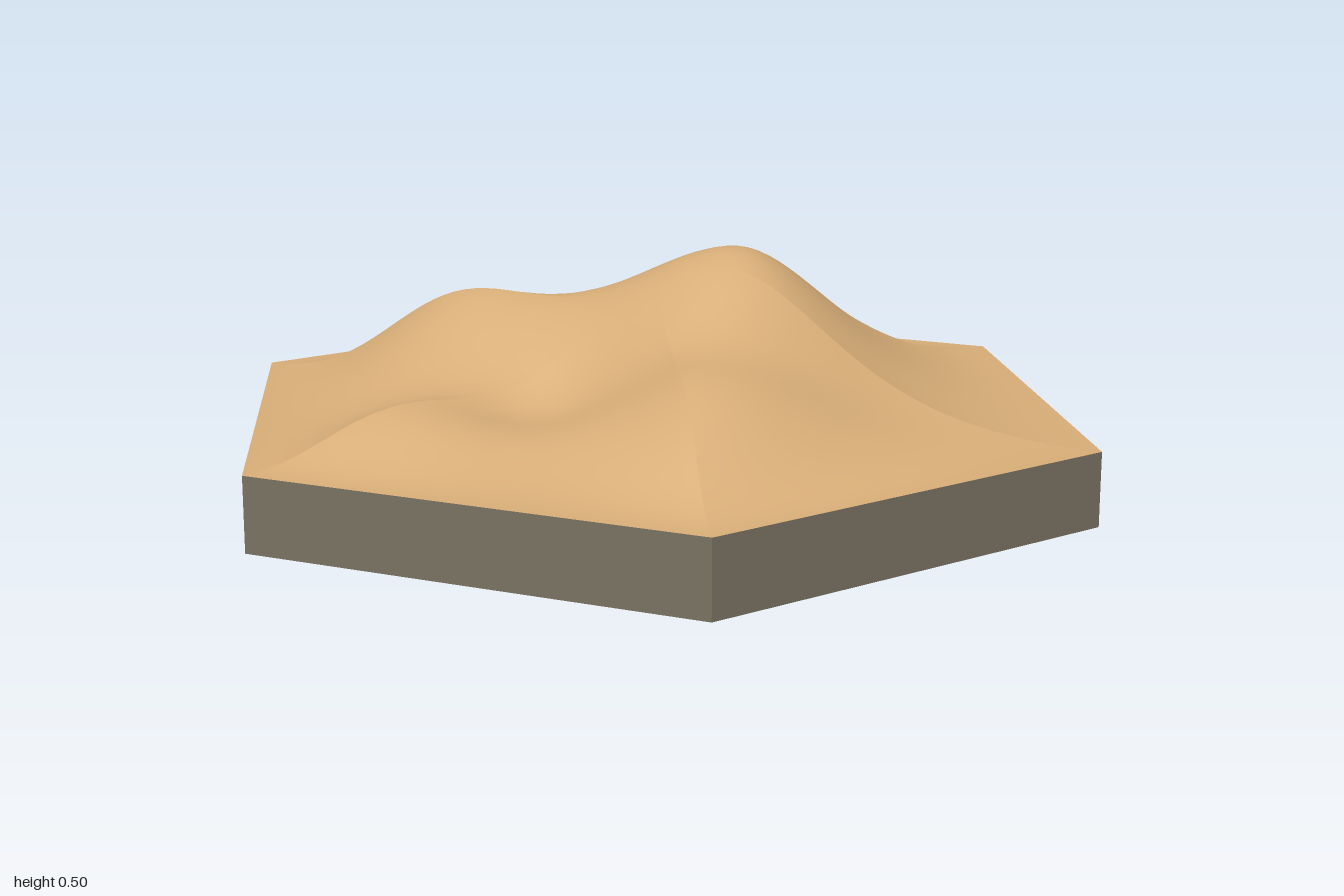
import * as THREE from 'three';

const BASE_HEIGHT = 0.16;
const RINGS = 36;

// Hills: centre x, centre z, spread, strength (negative for a hollow)
const HILLS = [
  [0.07, -0.13, 0.24, 0.23],
  [0, -0.6, 0.3, 0.12],
  [-0.5, 0.34, 0.24, 0.26],
  [0.75, 0.25, 0.25, 0.4],
  [0.12, 0.88, 0.2, 0.33],
  [0.12, 0.38, 0.13, -0.06],
];

// Rolling hills that fade out towards the rim; d runs from 0 at the centre to 1 at the rim
function duneHeight(x, z, d) {
  let h = 0.07;
  for (const [cx, cz, s, a] of HILLS) {
    h += a * Math.exp(-((x - cx) ** 2 + (z - cz) ** 2) / (2 * s * s));
  }
  return BASE_HEIGHT + h * THREE.MathUtils.smoothstep(1 - d, 0, 0.8);
}

// One of six triangular sectors, kept separate so the seams stay crisp
function duneSector(k) {
  const a = (k * Math.PI) / 3;
  const b = a + Math.PI / 3;
  const positions = [];
  const index = [];
  const id = (i, j) => (i * (i + 1)) / 2 + j;
  for (let i = 0; i <= RINGS; i++) {
    for (let j = 0; j <= i; j++) {
      const u = (i - j) / RINGS;
      const v = j / RINGS;
      const x = u * Math.sin(a) + v * Math.sin(b);
      const z = u * Math.cos(a) + v * Math.cos(b);
      positions.push(x, duneHeight(x, z, i / RINGS), z);
      if (i === RINGS) continue;
      index.push(id(i, j), id(i + 1, j), id(i + 1, j + 1));
      if (j < i) index.push(id(i, j), id(i + 1, j + 1), id(i, j + 1));
    }
  }
  const geometry = new THREE.BufferGeometry();
  geometry.setAttribute('position', new THREE.Float32BufferAttribute(positions, 3));
  geometry.setIndex(index);
  geometry.computeVertexNormals();
  return geometry;
}

export function createModel() {
  const sand = new THREE.MeshStandardMaterial({ color: 0xd8ae78 });
  sand.name = 'sand';
  const stone = new THREE.MeshStandardMaterial({ color: 0x7a7263 });
  stone.name = 'stone';

  const model = new THREE.Group();
  model.name = 'hexDuneTile';

  // Hexagonal plinth with corners on the z axis
  const prism = new THREE.CylinderGeometry(1, 1, BASE_HEIGHT, 6).toNonIndexed();
  prism.computeVertexNormals();
  const base = new THREE.Mesh(prism, stone);
  base.name = 'base';
  base.position.y = BASE_HEIGHT / 2;
  model.add(base);

  // Dune surface
  const dunes = new THREE.Group();
  dunes.name = 'dunes';
  for (let k = 0; k < 6; k++) {
    const sector = new THREE.Mesh(duneSector(k), sand);
    sector.name = `duneSector${k + 1}`;
    dunes.add(sector);
  }
  model.add(dunes);
  return model;
}
